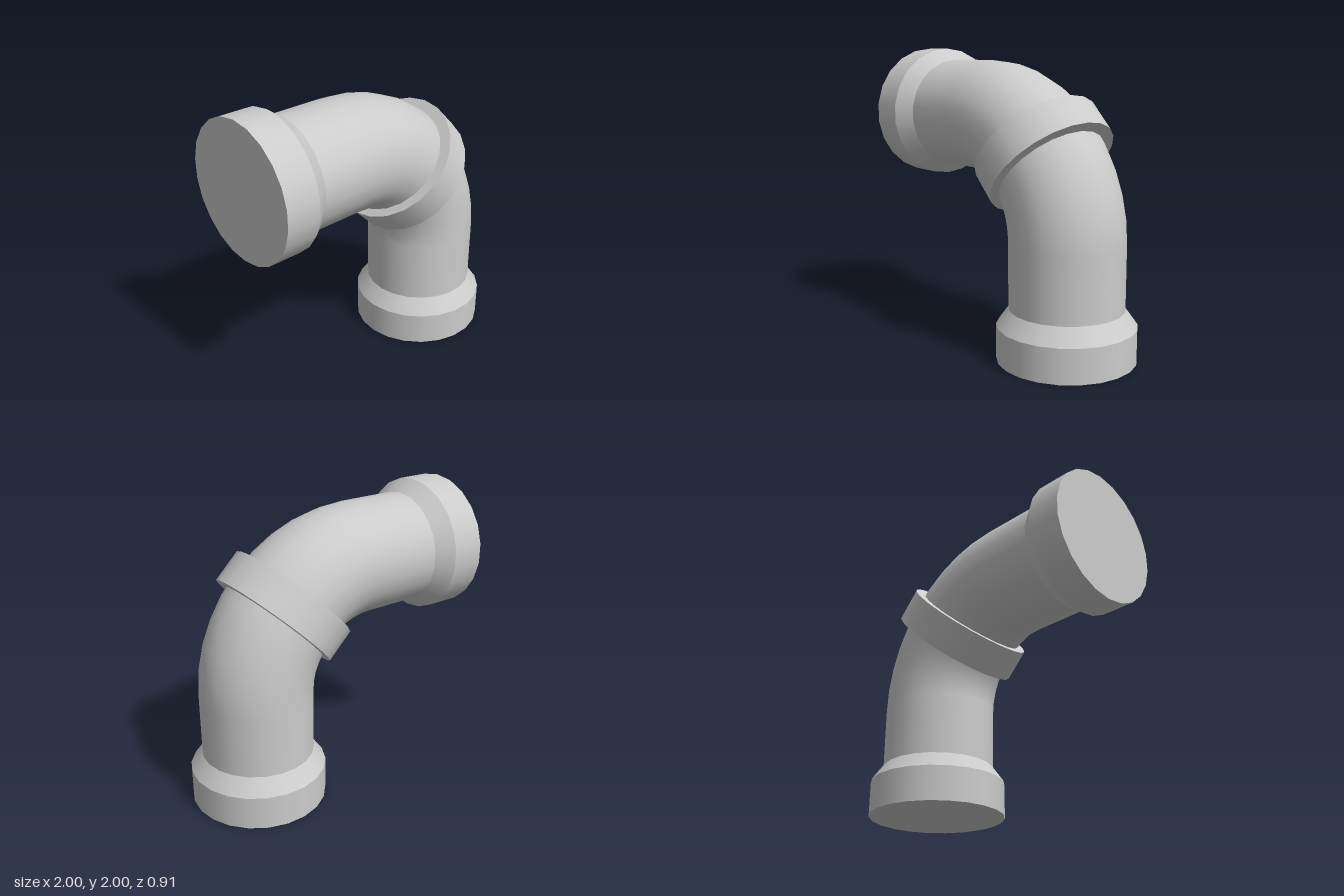
import * as THREE from 'three';

const SIDES = 22;
const PIPE_R = 0.38, SOCKET_R = 0.46, BAND_R = 0.45;
const BEND_R = 0.78; // radius of the bend's centreline
const BEND_X = -0.24, BEND_Y = 0.76; // centre of the bend

const material = new THREE.MeshStandardMaterial({ color: 0xcccccc });

// Cylinder section along y from y0 to y1, with a corner facing +x
function section(name, rBottom, rTop, y0, y1, open) {
  const geometry = new THREE.CylinderGeometry(rTop, rBottom, y1 - y0, SIDES, 1, open, Math.PI / 2);
  const mesh = new THREE.Mesh(geometry, material);
  mesh.name = name;
  mesh.position.y = (y0 + y1) / 2;
  return mesh;
}

// Socket, tapered shoulder and straight pipe, running up from the open end
function pipeEnd(name) {
  const end = new THREE.Group();
  end.name = name;
  end.add(
    section('socket', SOCKET_R, SOCKET_R, 0, 0.23, false),
    section('shoulder', SOCKET_R, PIPE_R, 0.23, 0.34, true),
    section('straightPipe', PIPE_R, PIPE_R, 0.34, BEND_Y, true)
  );
  return end;
}

export function createModel() {
  const model = new THREE.Group();
  model.name = 'pipeElbow';

  // Two matching ends, one standing and one lying
  const lowerEnd = pipeEnd('lowerEnd');
  lowerEnd.position.set(BEND_X + BEND_R, 0, 0);
  const upperEnd = pipeEnd('upperEnd');
  upperEnd.position.set(-1, BEND_Y + BEND_R, 0);
  upperEnd.rotation.z = -Math.PI / 2;

  // Quarter bend joining them
  const bend = new THREE.Mesh(
    new THREE.TorusGeometry(BEND_R, PIPE_R, SIDES, 10, Math.PI / 2), material);
  bend.name = 'bend';
  bend.position.set(BEND_X, BEND_Y, 0);

  // Band around the middle of the bend
  const band = section('middleBand', BAND_R, BAND_R, -0.113, 0.113, false);
  const offset = BEND_R * Math.SQRT1_2;
  band.position.set(BEND_X + offset, BEND_Y + offset, 0);
  band.rotation.z = Math.PI / 4;

  model.add(lowerEnd, upperEnd, bend, band);
  return model;
}
